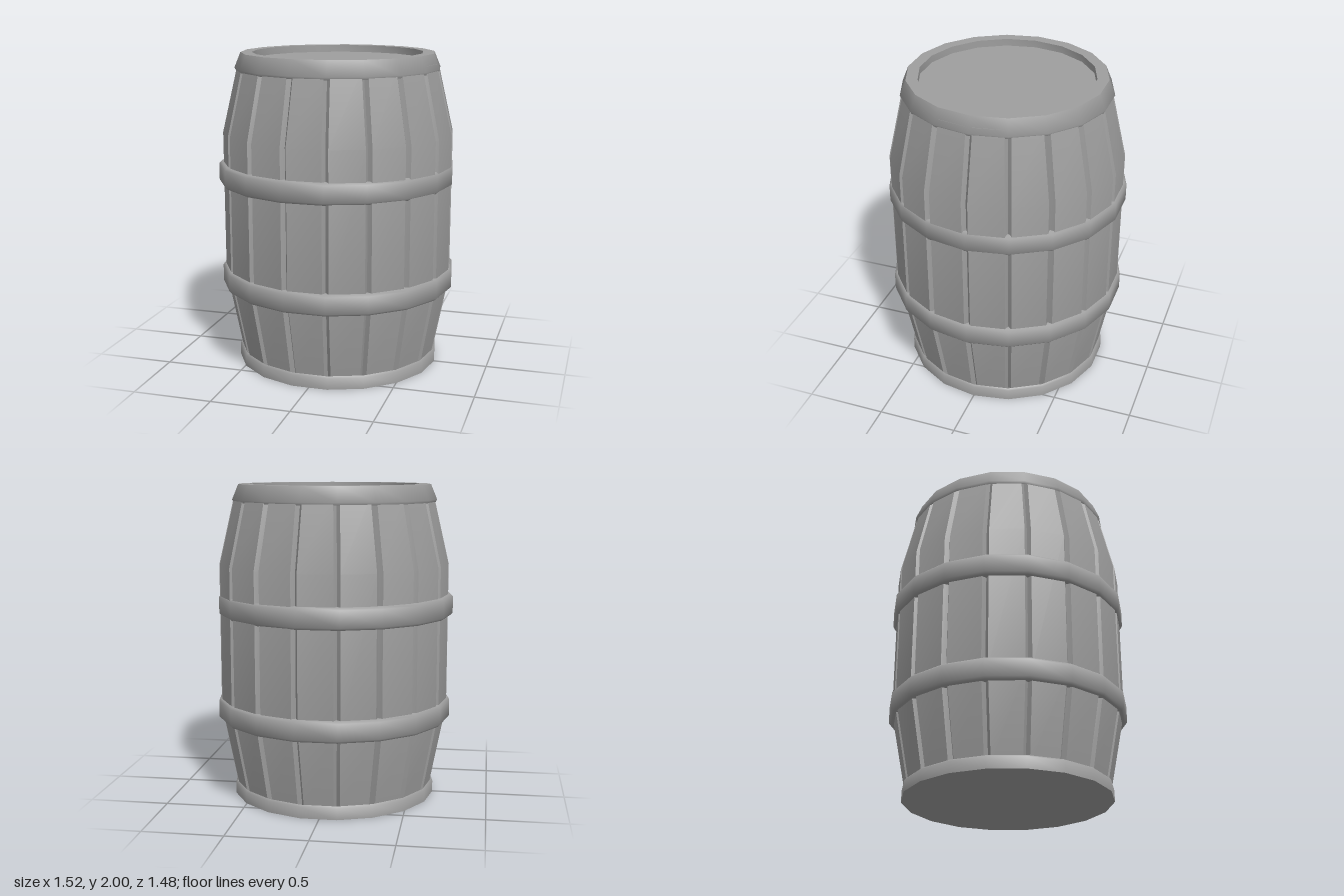
import * as THREE from 'three';
import { toCreasedNormals } from 'three/addons/utils/BufferGeometryUtils.js';

const SIDES = 18;
const STEP = (Math.PI * 2) / SIDES;
const SHARP = 0.42; // keeps groove edges crisp
const SOFT = 0.95; // blends the small bevels of rims and hoops
const material = new THREE.MeshStandardMaterial({ color: 0x9e9e9e });

function addMesh(group, name, geometry, crease, x = 0, y = 0) {
  const mesh = new THREE.Mesh(toCreasedNormals(geometry, crease), material);
  mesh.name = name;
  mesh.position.set(x, y, 0);
  group.add(mesh);
}

// Faceted ring or cap from a profile of [radius, y] pairs
function turned(profile) {
  const points = profile.map(([r, y]) => new THREE.Vector2(r, y));
  return new THREE.LatheGeometry(points, SIDES, STEP / 2);
}

// Flat staves with a V-shaped groove at every corner, lofted through levels of [radius, y]
function stavesGeometry(levels, grooveWidth, grooveDepth) {
  const positions = [];
  const index = [];
  const corner = (r, y, k) => {
    const a = STEP * (k + 0.5);
    return new THREE.Vector3(r * Math.sin(a), y, r * Math.cos(a));
  };
  for (const [r, y] of levels) {
    const t = grooveWidth / 2 / (2 * r * Math.sin(STEP / 2));
    for (let k = 0; k < SIDES; k++) {
      const a = corner(r, y, k);
      const b = corner(r, y, k + 1);
      const ring = [corner(r - grooveDepth, y, k), a.clone().lerp(b, t), a.clone().lerp(b, 1 - t)];
      for (const p of ring) positions.push(p.x, p.y, p.z);
    }
  }
  const n = SIDES * 3;
  for (let l = 0; l < levels.length - 1; l++) {
    for (let i = 0; i < n; i++) {
      const j = (i + 1) % n;
      const a = l * n + i, b = l * n + j, c = a + n, d = b + n;
      index.push(a, b, d, a, d, c);
    }
  }
  const geometry = new THREE.BufferGeometry();
  geometry.setAttribute('position', new THREE.Float32BufferAttribute(positions, 3));
  geometry.setIndex(index);
  return geometry;
}

export function createModel() {
  const barrel = new THREE.Group();
  barrel.name = 'barrel';

  // Bulging wall of staves
  addMesh(barrel, 'staves', stavesGeometry(
    [[0.632, 0.04], [0.737, 0.58], [0.737, 1.5], [0.634, 1.94]], 0.04, 0.03), SHARP, 0.005);

  // Foot ring with a flat closed bottom
  addMesh(barrel, 'bottomRim', turned(
    [[0, 0], [0.653, 0], [0.653, 0.072], [0.642, 0.083], [0.59, 0.05]]), SOFT, 0.004);

  // Tapered top rim around the sunken lid
  addMesh(barrel, 'topRim', turned(
    [[0.6, 1.925], [0.642, 1.888], [0.651, 1.905], [0.612, 2], [0.54, 2], [0.54, 1.955]]), SOFT, 0.002);
  addMesh(barrel, 'lid', turned([[0.54, 1.955], [0, 1.955]]), SHARP, 0.002);

  // Two hoops with softened edges, each sitting slightly off centre
  const h = 0.0675, bevel = 0.015, outer = 0.753, inner = 0.69;
  const hoop = turned([
    [inner, -h], [outer - bevel, -h], [outer, -h + bevel],
    [outer, h - bevel], [outer - bevel, h], [inner, h],
  ]);
  addMesh(barrel, 'upperHoop', hoop, SOFT, -0.007, 1.243);
  addMesh(barrel, 'lowerHoop', hoop, SOFT, 0.004, 0.57);

  return barrel;
}
